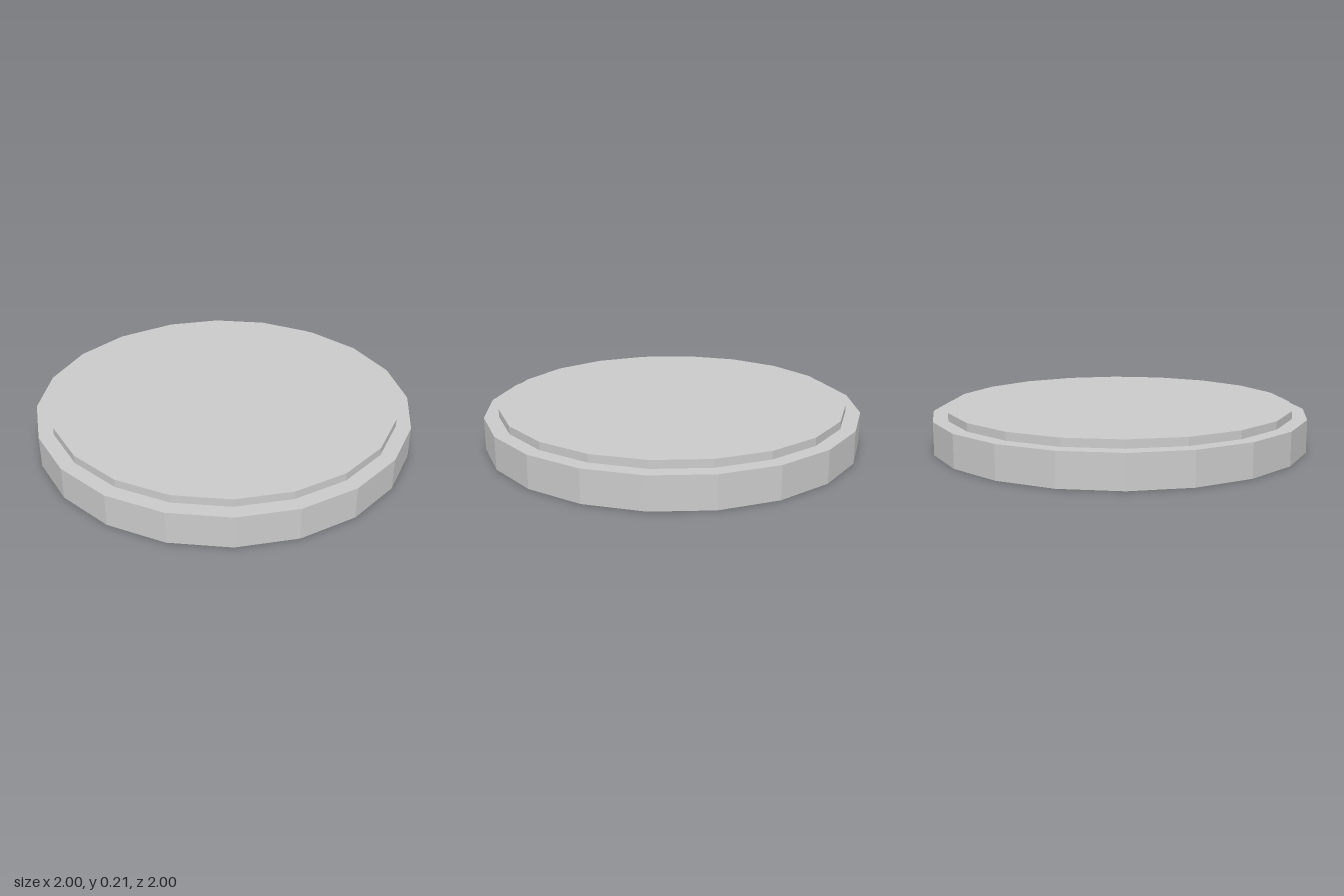
import * as THREE from 'three';

const SIDES = 20;

export function createModel() {
  const group = new THREE.Group();
  group.name = 'steppedDisc';
  const material = new THREE.MeshStandardMaterial({ color: 0xcccccc, flatShading: true });

  // Faceted disc standing between two heights
  function addDisc(name, radius, bottom, top) {
    const geometry = new THREE.CylinderGeometry(radius, radius, top - bottom, SIDES);
    const mesh = new THREE.Mesh(geometry, material);
    mesh.name = name;
    mesh.position.y = (bottom + top) / 2;
    group.add(mesh);
  }

  // Wide base and the slightly smaller raised top
  addDisc('base', 1, 0, 0.172);
  addDisc('raisedTop', 0.922, 0.172, 0.214);

  return group;
}
